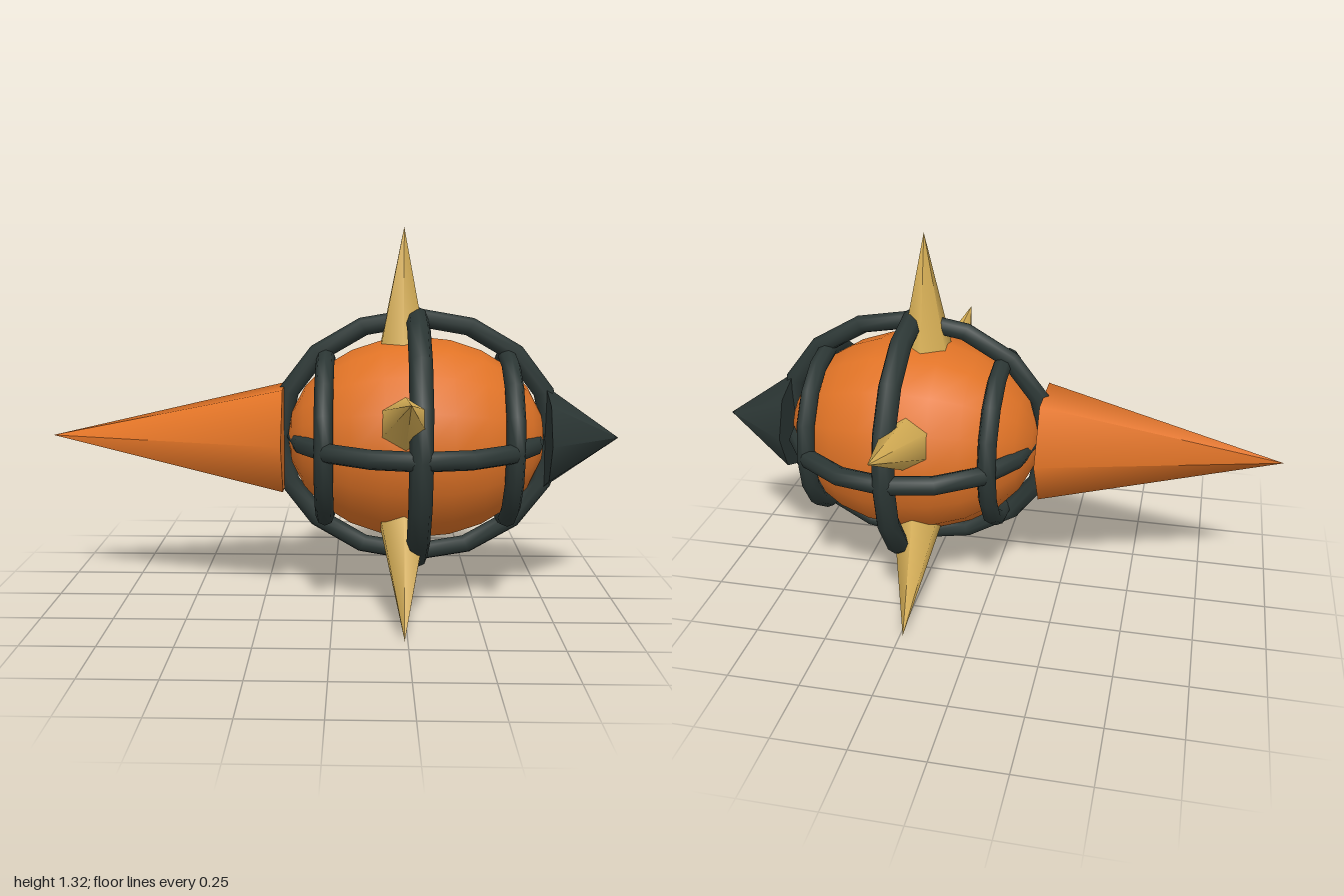
import * as THREE from 'three';

const AXIS_Y = 0.6;   // height of the long axis
const MID_X = 0.287;  // middle of the body and cage

export function createModel() {
  const model = new THREE.Group();
  const paint = (name, color) => {
    const m = new THREE.MeshStandardMaterial({ color });
    m.name = name;
    return m;
  };
  const orange = paint('orange', 0xe07326);
  const dark = paint('darkIron', 0x2c3735);
  const gold = paint('gold', 0xd8b056);

  const add = (name, geometry, material, x) => {
    const mesh = new THREE.Mesh(geometry, material);
    mesh.name = name;
    mesh.position.set(x, AXIS_Y, 0);
    model.add(mesh);
    return mesh;
  };

  // Egg-shaped body with its poles on the long axis
  add('body', new THREE.SphereGeometry(1, 16, 12).rotateZ(-Math.PI / 2).scale(0.45, 0.355, 0.355), orange, MID_X);

  // Six-sided tail cone and eight-sided nose cone
  add('tailCone', new THREE.ConeGeometry(0.207, 0.825, 6).rotateZ(Math.PI / 2), orange, -0.5875);
  add('noseCone', new THREE.ConeGeometry(0.183, 0.26, 8).rotateZ(-Math.PI / 2), dark, 0.87);

  // Cage rings around the long axis: offset from the middle, radius, tube
  for (const [name, dx, radius, tube] of [
    ['rearRing', -0.316, 0.285, 0.032],
    ['middleRing', 0, 0.42, 0.039],
    ['frontRing', 0.316, 0.285, 0.032],
  ]) {
    add(name, new THREE.TorusGeometry(radius, tube, 8, 16).rotateY(Math.PI / 2), dark, MID_X + dx);
  }

  // Lengthwise hoops, the upright one stretched along the axis
  add('uprightHoop', new THREE.TorusGeometry(0.422, 0.032, 8, 16).scale(1.145, 1, 1), dark, MID_X);
  add('levelHoop', new THREE.TorusGeometry(0.422, 0.033, 8, 16).rotateX(Math.PI / 2), dark, MID_X);

  // Five spikes fanned around the body
  for (let i = 0; i < 5; i++) {
    const spike = new THREE.ConeGeometry(0.088, 0.4, 6).translate(0, 0.531, 0);
    add('spike' + (i + 1), spike, gold, 0.24).rotation.x = (i * Math.PI * 2) / 5;
  }

  return model;
}
